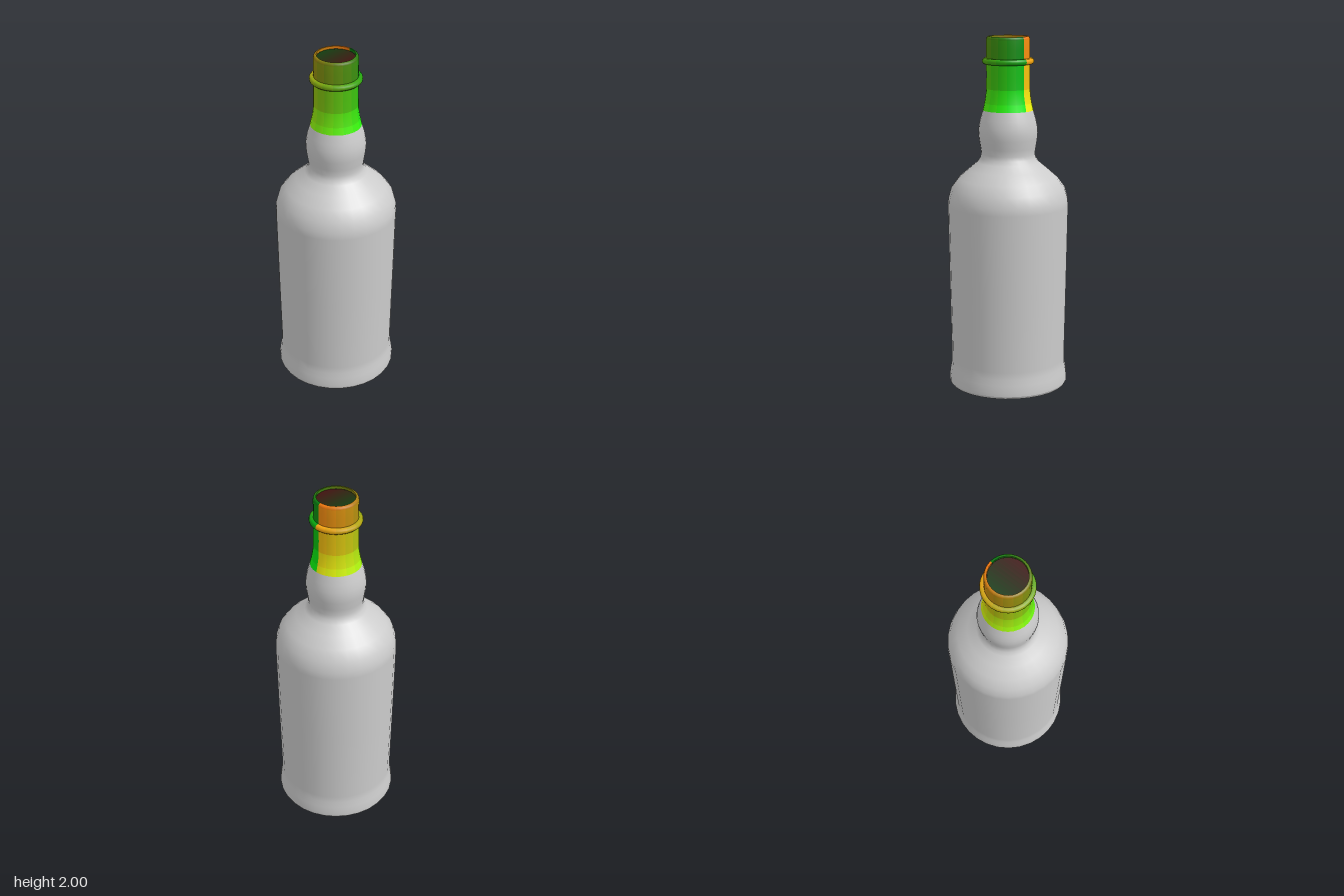
import * as THREE from 'three';

const SIDES = 30;
const points = (list) => list.map(([r, y]) => new THREE.Vector2(r, y));

function colored(r, g, b) {
  const material = new THREE.MeshStandardMaterial();
  material.color.setRGB(r, g, b, THREE.SRGBColorSpace);
  return material;
}

// Glass body: slightly hollow underside, flared foot, shoulder and bulged neck.
// A repeated point keeps that edge sharp.
function makeBody() {
  const profile = points([
    [0, 0.025], [0.2, 0.02], [0.31, 0.008], [0.325, 0], [0.336, 0], [0.336, 0],
    [0.343, 0.014], [0.343, 0.014], [0.343, 0.035], [0.338, 0.075], [0.331, 0.11], [0.328, 0.15],
    [0.336, 0.6], [0.343, 1.05], [0.34, 1.09], [0.323, 1.15], [0.282, 1.205], [0.225, 1.255],
    [0.175, 1.297], [0.159, 1.32], [0.152, 1.345], [0.157, 1.38], [0.165, 1.43], [0.168, 1.465],
    [0.165, 1.5], [0.157, 1.54], [0.142, 1.59],
  ]);
  const body = new THREE.Mesh(
    new THREE.LatheGeometry(profile, SIDES, Math.PI / 2),
    new THREE.MeshStandardMaterial({ color: 0xcccccc })
  );
  body.name = 'bottleBody';
  return body;
}

// Neck sleeve with a bead: one smooth lathe, shared by colour patches that fade
// from green to orange around the neck and darken towards the lip.
function makeNeck() {
  const neck = new THREE.Group();
  neck.name = 'neckSleeve';
  const profile = points([
    [0.142, 1.59], [0.133, 1.63], [0.126, 1.67], [0.123, 1.71], [0.122, 1.78], [0.122, 1.848], [0.122, 1.848],
    [0.136, 1.848], [0.143, 1.855], [0.145, 1.864], [0.143, 1.873], [0.136, 1.88], [0.122, 1.88], [0.122, 1.88],
    [0.122, 1.93], [0.122, 1.985], [0.119, 1.995], [0.113, 2], [0.105, 2], [0.105, 2], [0.105, 1.985],
  ]);
  const lathe = new THREE.LatheGeometry(profile, SIDES, Math.PI / 2);
  const indices = Array.from(lathe.index.array);
  const rows = profile.length - 1;
  const bands = [[0, 1], [1, 3], [3, 5], [5, 13], [13, 15], [15, rows]];
  const step = 2;
  for (let s = 0; s < SIDES; s += step) {
    for (const [from, to] of bands) {
      const patch = [];
      for (let i = s; i < s + step; i++) {
        patch.push(...indices.slice(6 * (i * rows + from), 6 * (i * rows + to)));
      }
      const geometry = new THREE.BufferGeometry();
      for (const key of ['position', 'normal', 'uv']) geometry.setAttribute(key, lathe.getAttribute(key));
      geometry.setIndex(patch);
      // Only the vertices of this patch are kept
      const compact = geometry.toNonIndexed();
      const height = (profile[from].y + profile[to].y) / 2;
      const around = 1 - (s + step / 2) / SIDES;
      const mesh = new THREE.Mesh(compact, colored(around, 1 - 1.3 * (height - 1.59), 0.06));
      mesh.name = 'neckPatch';
      neck.add(mesh);
    }
  }
  return neck;
}

// Dark disc closing the mouth, cut into strips from dark green (back) to dark red (front)
function makeMouth() {
  const mouth = new THREE.Group();
  mouth.name = 'mouth';
  const strips = 15;
  const radius = 0.105;
  for (let i = 0; i < strips; i++) {
    const a = (i / strips) * Math.PI;
    const b = ((i + 1) / strips) * Math.PI;
    const corner = (side, angle) => new THREE.Vector2(side * radius * Math.sin(angle), radius * Math.cos(angle));
    const outline = [corner(-1, b), corner(1, b), corner(1, a), corner(-1, a)]
      .filter((p, k, all) => k === 0 || p.distanceTo(all[k - 1]) > 1e-6);
    const geometry = new THREE.ShapeGeometry(new THREE.Shape(outline));
    geometry.rotateX(-Math.PI / 2).translate(0, 1.985, 0);
    const t = (1 - Math.cos((a + b) / 2)) / 2;
    const mesh = new THREE.Mesh(geometry, colored(0.06 + 0.2 * t, 0.24 - 0.18 * t, 0.06));
    mesh.name = 'mouthStrip';
    mouth.add(mesh);
  }
  return mouth;
}

export function createModel() {
  const model = new THREE.Group();
  model.name = 'bottle';
  model.add(makeBody(), makeNeck(), makeMouth());
  return model;
}
